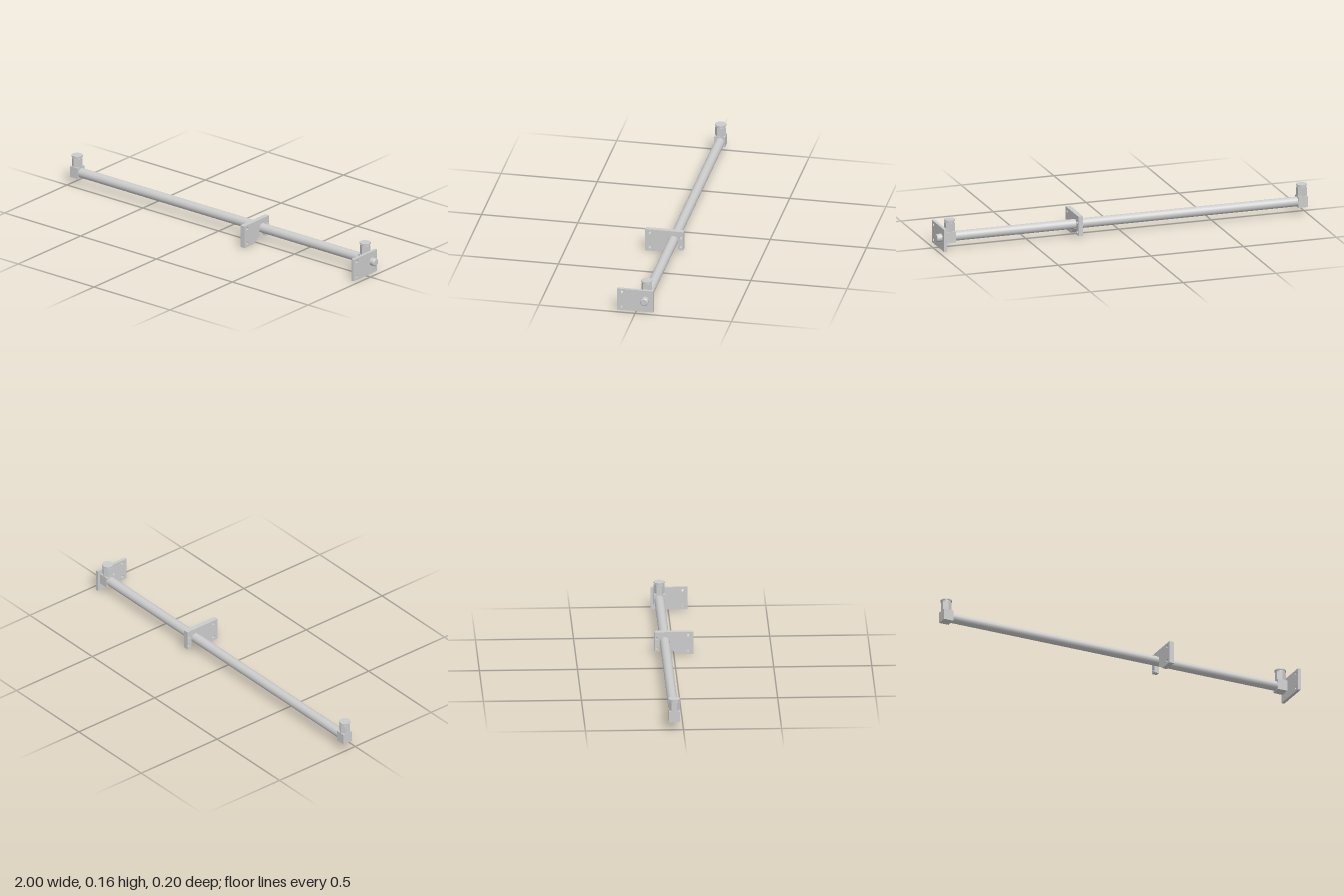
import * as THREE from 'three';

const AXIS_Y = 0.067;
const AXIS_Z = -0.046;

export function createModel() {
  const model = new THREE.Group();
  const material = new THREE.MeshStandardMaterial({ color: 0xcccccc });
  const flat = new THREE.MeshStandardMaterial({ color: 0xcccccc, flatShading: true });

  const add = (parent, name, geometry, x, y, z, mat = material) => {
    const mesh = new THREE.Mesh(geometry, mat);
    mesh.name = name;
    mesh.position.set(x, y, z);
    parent.add(mesh);
    return mesh;
  };

  // Plate drawn in (z, y), spanning x0 to x1
  const addPlate = (name, shape, holes, x0, x1) => {
    for (const [z, y, r] of holes) {
      shape.holes.push(new THREE.Path().absarc(z, y, r, 0, Math.PI * 2, true));
    }
    const geometry = new THREE.ExtrudeGeometry(shape, {
      depth: x1 - x0, bevelEnabled: false, curveSegments: 24,
    });
    geometry.rotateY(-Math.PI / 2);
    add(model, name, geometry, x1, 0, 0);
  };

  // Round tube along x
  const tube = new THREE.CylinderGeometry(0.025, 0.025, 1.86, 40);
  tube.rotateZ(Math.PI / 2);
  add(model, 'mainTube', tube, -0.025, AXIS_Y, AXIS_Z);

  // End blocks, each with an upright hexagonal fitting
  for (const [name, x] of [['rightFitting', -0.971], ['leftFitting', 0.928]]) {
    const fitting = new THREE.Group();
    fitting.name = name;
    fitting.position.set(x, 0, AXIS_Z);
    add(fitting, 'endBlock', new THREE.BoxGeometry(0.052, 0.058, 0.056), 0, 0.069, 0);
    const hex = new THREE.CylinderGeometry(0.028, 0.028, 0.046, 6);
    add(fitting, 'hexBody', hex, 0, 0.12, 0, flat);
    add(fitting, 'neck', new THREE.CylinderGeometry(0.024, 0.024, 0.014, 32), 0, 0.148, 0);
    add(fitting, 'capFlange', new THREE.CylinderGeometry(0.029, 0.029, 0.006, 32), 0, 0.156, 0);
    model.add(fitting);
  }

  // Rectangular end plate
  const endPlate = new THREE.Shape();
  endPlate.moveTo(-0.088, 0);
  endPlate.lineTo(0.1, 0);
  endPlate.lineTo(0.1, 0.118);
  endPlate.lineTo(-0.088, 0.118);
  endPlate.closePath();
  addPlate('endPlate', endPlate, [[0.075, 0.02, 0.008], [0.075, 0.1, 0.008]], 0.956, 0.972);

  // Chamfered boss on the outside of the end plate
  const bossProfile = [[0.0205, 0], [0.0205, 0.025], [0.0165, 0.029], [0, 0.029]];
  const boss = new THREE.LatheGeometry(bossProfile.map(([r, h]) => new THREE.Vector2(r, h)), 32);
  const bossMesh = add(model, 'boss', boss, 0.971, 0.065, AXIS_Z, flat);
  bossMesh.rotation.z = -Math.PI / 2;

  // Middle bracket saddled over the tube
  const saddle = new THREE.Shape();
  saddle.moveTo(0.1, 0);
  saddle.lineTo(0.1, 0.119);
  saddle.lineTo(-0.099, 0.119);
  saddle.lineTo(-0.099, 0.016);
  saddle.lineTo(-0.072, 0.016);
  saddle.lineTo(-0.072, AXIS_Y);
  saddle.absarc(AXIS_Z, AXIS_Y, 0.026, Math.PI, 0, true);
  saddle.lineTo(-0.02, 0.03);
  saddle.lineTo(0.02, 0);
  saddle.closePath();
  addPlate('middleBracket', saddle, [
    [0.075, 0.02, 0.008], [0.075, 0.1, 0.008],
    [-0.087, 0.035, 0.007], [-0.087, 0.085, 0.007],
  ], 0.225, 0.251);

  return model;
}
